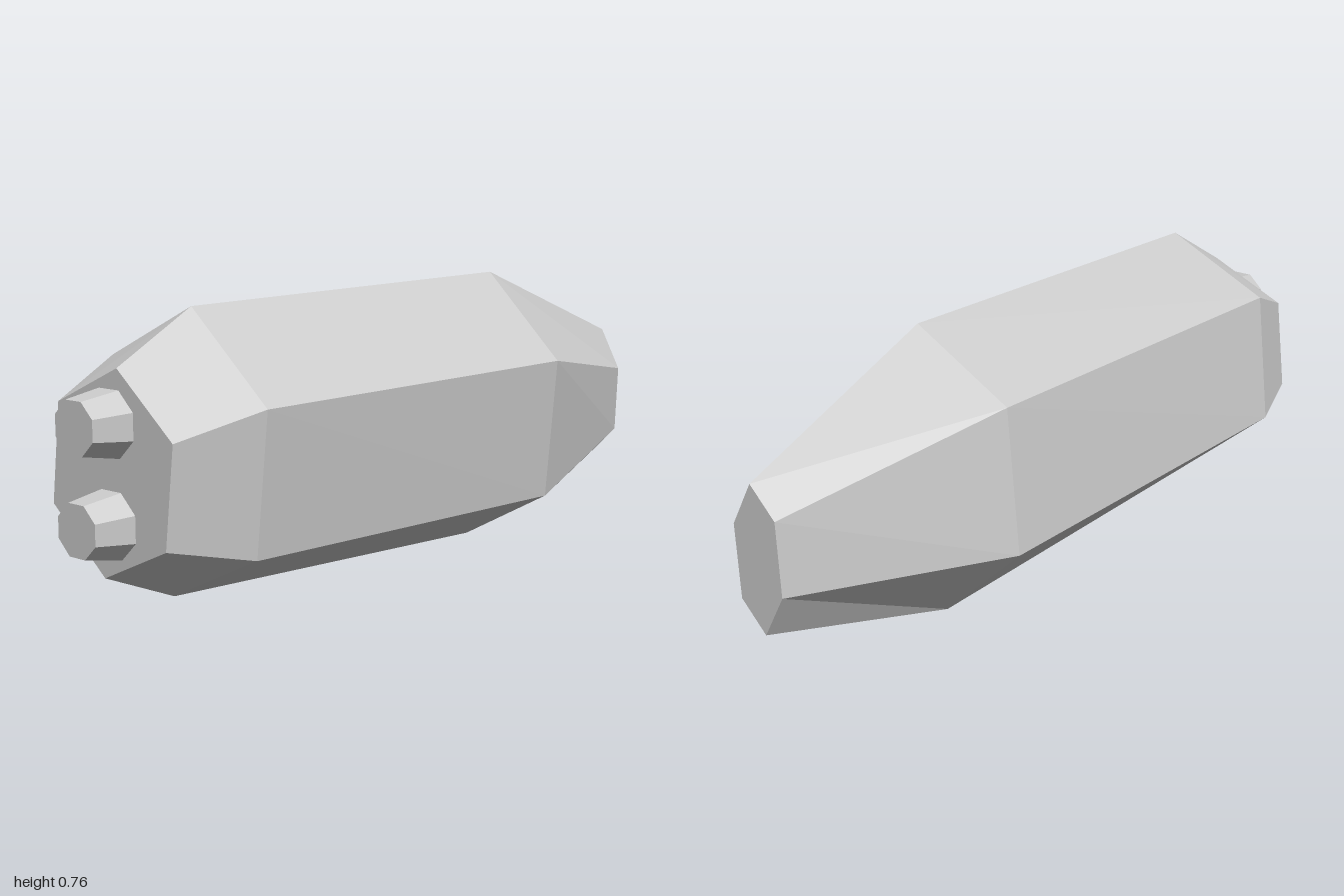
import * as THREE from 'three';

export function createModel() {
  const group = new THREE.Group();
  const grey = new THREE.MeshStandardMaterial({ color: 0xcccccc, flatShading: true });
  grey.name = 'light grey';

  // Hull stations: z, centre height, and half a hexagon (clockwise from the top);
  // the other half is the same turned by 180 degrees.
  const stations = [
    [0.9, 0.3625, [[0.03, 0.2475], [0.22, 0.0965], [0.19, -0.1515]]],
    [0.685, 0.3825, [[0.04, 0.354], [0.295, 0.137], [0.255, -0.218]]],
    [-0.415, 0.3825, [[0.038, 0.379], [0.278, 0.148], [0.242, -0.231]]],
    [-1, 0.3675, [[0.01, 0.1875], [0.073, 0.0715], [0.064, -0.1165]]],
  ];
  const rings = stations.map(([z, cy, half]) =>
    [...half, ...half.map(([x, y]) => [-x, -y])].map(([x, y]) => [x, y + cy, z]));

  const points = [];
  const tri = (a, b, c) => points.push(...a, ...b, ...c);
  for (let r = 0; r < rings.length - 1; r++) {
    const a = rings[r], b = rings[r + 1];
    for (let i = 0; i < 6; i++) {
      const j = (i + 1) % 6;
      tri(a[i], a[j], b[j]);
      tri(a[i], b[j], b[i]);
    }
  }
  // Flat end caps
  const front = rings[0], back = rings[rings.length - 1];
  for (let i = 1; i < 5; i++) {
    tri(front[0], front[i + 1], front[i]);
    tri(back[0], back[i], back[i + 1]);
  }
  const hullGeometry = new THREE.BufferGeometry();
  hullGeometry.setAttribute('position', new THREE.Float32BufferAttribute(points, 3));
  hullGeometry.computeVertexNormals();
  const hull = new THREE.Mesh(hullGeometry, grey);
  hull.name = 'hull';
  group.add(hull);

  // Two tapered octagonal nozzles on the front cap
  const nozzleGeometry = new THREE.CylinderGeometry(0.073, 0.092, 0.1, 8);
  nozzleGeometry.rotateY(Math.PI / 8).rotateX(Math.PI / 2).scale(1, 0.92, 1);
  [['upperNozzle', 0.482], ['lowerNozzle', 0.247]].forEach(([name, y]) => {
    const nozzle = new THREE.Mesh(nozzleGeometry, grey);
    nozzle.name = name;
    nozzle.position.set(0, y, 0.95);
    group.add(nozzle);
  });
  return group;
}
